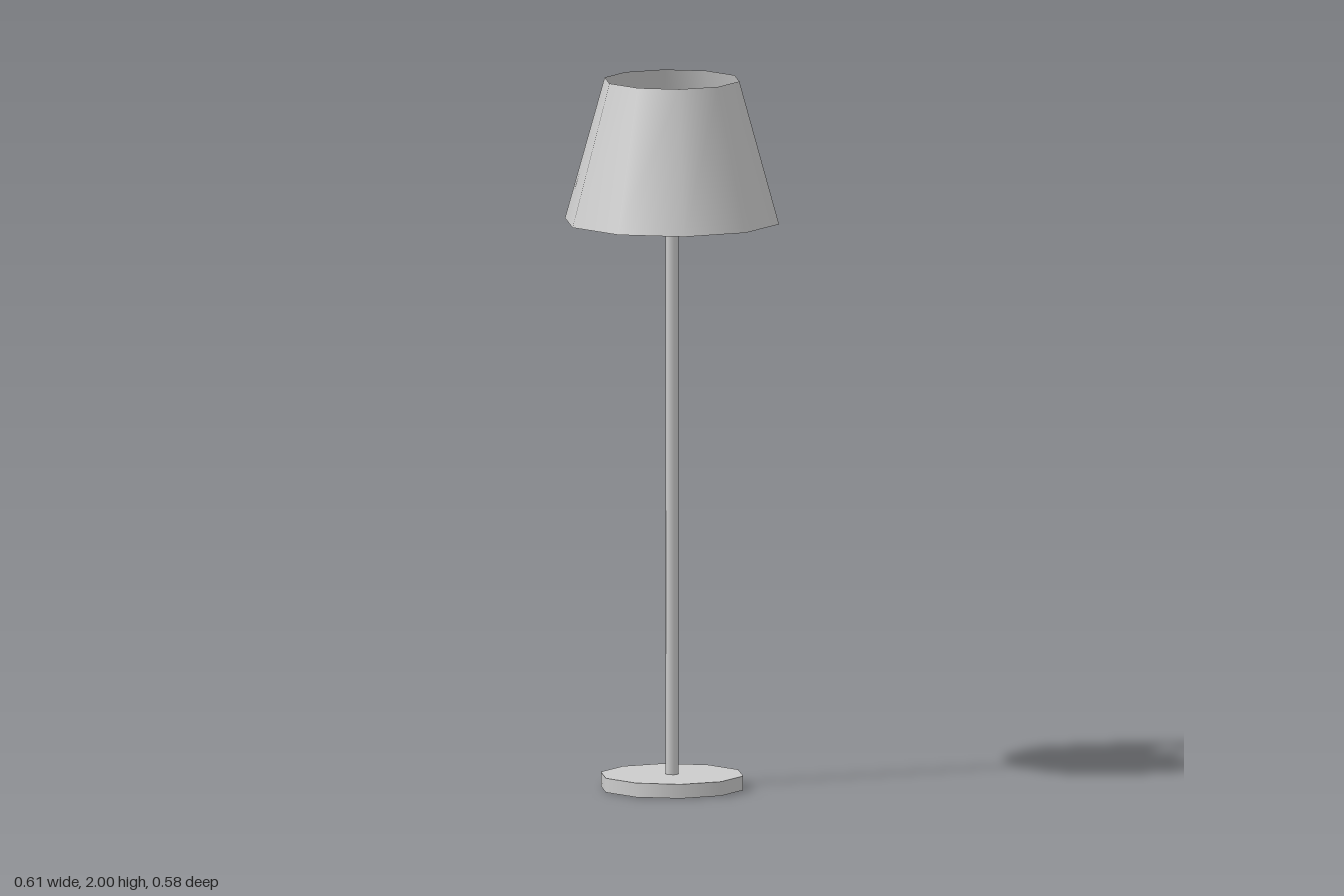
import * as THREE from 'three';

export function createModel() {
  const lamp = new THREE.Group();
  lamp.name = 'floorLamp';
  const grey = new THREE.MeshStandardMaterial({ color: 0xcccccc, side: THREE.DoubleSide });
  grey.name = 'lightGrey';

  function add(parent, name, geometry, y) {
    const mesh = new THREE.Mesh(geometry, grey);
    mesh.name = name;
    mesh.position.y = y;
    parent.add(mesh);
  }

  // Open tube between two heights, with corners on the x axis
  function wall(parent, name, topRadius, bottomRadius, y0, y1, sides) {
    const g = new THREE.CylinderGeometry(topRadius, bottomRadius, y1 - y0, sides, 1, true);
    add(parent, name, g.rotateY(Math.PI / 2), (y0 + y1) / 2);
  }

  // Tube closed at the top and hollow underneath
  function cup(name, radius, y0, y1, sides) {
    const group = new THREE.Group();
    group.name = name;
    wall(group, name + 'Wall', radius, radius, y0, y1, sides);
    add(group, name + 'Top', new THREE.CircleGeometry(radius, sides).rotateX(-Math.PI / 2), y1);
    lamp.add(group);
  }

  cup('base', 0.203, 0, 0.04, 10);
  wall(lamp, 'pole', 0.019, 0.019, 0.04, 1.79, 6);
  cup('bulbSocket', 0.063, 1.67, 1.8, 6);
  wall(lamp, 'shade', 0.192, 0.305, 1.6, 2, 10);

  return lamp;
}
